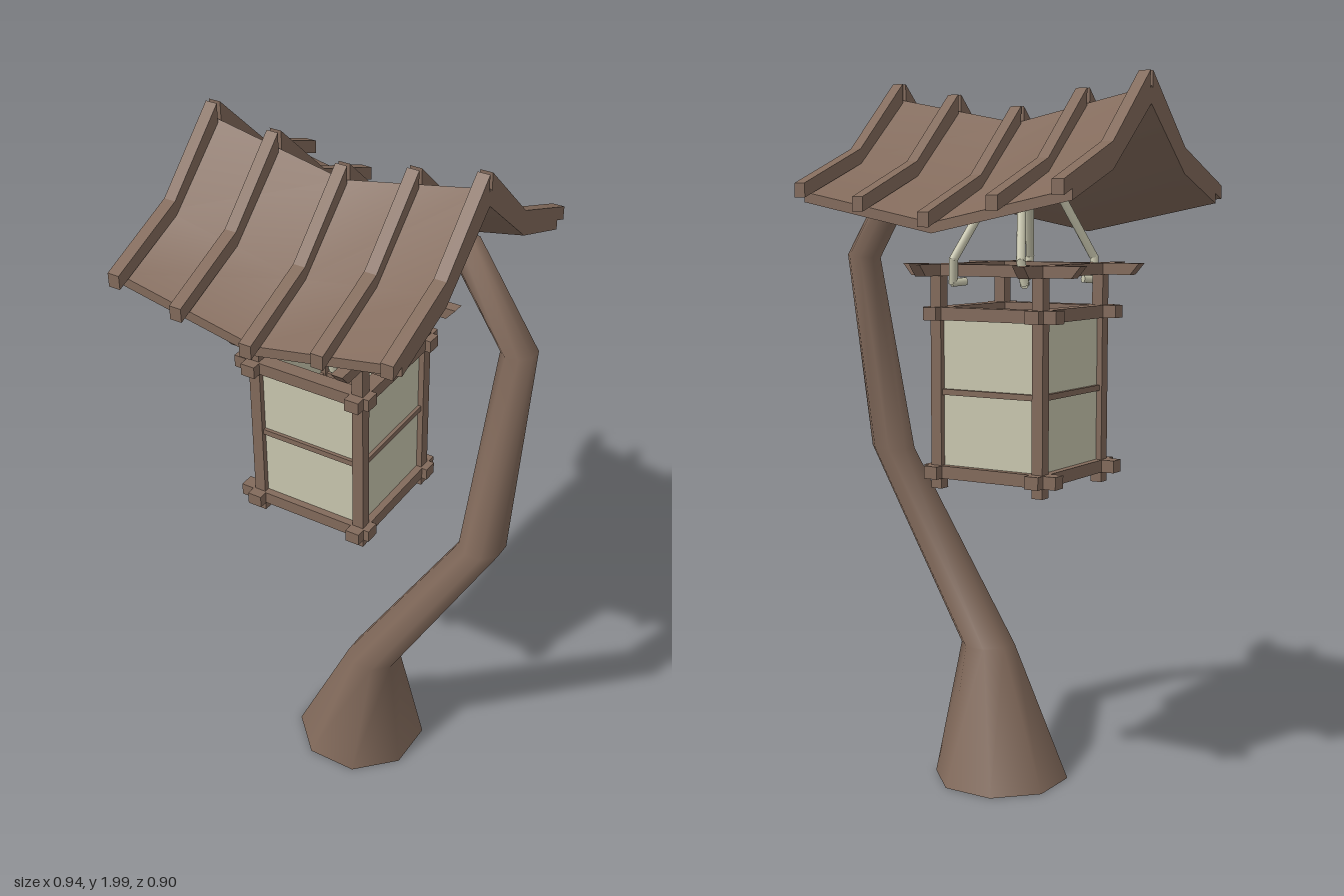
import * as THREE from 'three';
import { toCreasedNormals } from 'three/addons/utils/BufferGeometryUtils.js';

const wood = new THREE.MeshStandardMaterial({ color: 0x826a5b });
wood.name = 'brown wood';
const trunkWood = wood.clone();
trunkWood.side = THREE.DoubleSide;
const paper = new THREE.MeshStandardMaterial({ color: 0xc8c6ae, side: THREE.DoubleSide });
paper.name = 'pale paper';

export function createModel() {
  const model = new THREE.Group();
  model.name = 'hangingLantern';

  const add = (parent, name, geometry, material = wood) => {
    const mesh = new THREE.Mesh(geometry, material);
    mesh.name = name;
    parent.add(mesh);
    return mesh;
  };
  const box = (parent, name, size, pos, material) => {
    const mesh = add(parent, name, new THREE.BoxGeometry(...size), material);
    mesh.position.set(...pos);
    return mesh;
  };
  const group = (name) => {
    const g = new THREE.Group();
    g.name = name;
    model.add(g);
    return g;
  };

  // Crooked trunk: tapered rings [x, y, z, radius, tilt], open at the foot
  const rings = [
    [0.005, 0, 0.04, 0.188, 0],
    [0.073, 0.38, 0.075, 0.076, 0],
    [0.405, 0.94, 0.067, 0.062, 0.05],
    [0.425, 1.51, -0.04, 0.047, 0.1],
    [0.285, 1.78, 0, 0.044, 0.95],
    [-0.14, 1.775, 0, 0.034, Math.PI / 2],
  ];
  const sides = 8, pos = [], idx = [];
  rings.forEach(([x, y, z, r, t], i) => {
    for (let j = 0; j < sides; j++) {
      const a = ((j + 0.5) / sides) * Math.PI * 2;
      const rr = r * 1.04, u = Math.cos(a) * rr;
      pos.push(x + u * Math.cos(t), y + u * Math.sin(t), z + Math.sin(a) * rr);
      if (i < rings.length - 1) {
        const k = (j + 1) % sides;
        const p = i * sides + j, q = i * sides + k;
        idx.push(p, p + sides, q, q, p + sides, q + sides);
      }
    }
  });
  // Cap at the branch tip
  const last = (rings.length - 1) * sides;
  for (let j = 1; j < sides - 1; j++) idx.push(last, last + j + 1, last + j);
  const trunk = new THREE.BufferGeometry();
  trunk.setAttribute('position', new THREE.Float32BufferAttribute(pos, 3));
  trunk.setIndex(idx);
  trunk.computeVertexNormals();
  add(model, 'trunk', trunk, trunkWood);

  // Roof: profiles in (z, y) extruded along x, sagging toward the middle
  const roof = group('roof');
  const sag = (x) => 0.08 * (Math.abs(x + 0.0675) / 0.4075 - 1);
  const extrudeX = (points, x0, x1, steps) => {
    const shape = new THREE.Shape(points.map(([z, y]) => new THREE.Vector2(-z, y)));
    const g = new THREE.ExtrudeGeometry(shape, { depth: x1 - x0, steps, bevelEnabled: false });
    g.rotateY(Math.PI / 2);
    return g.translate(x0, 0, 0);
  };
  const top = [[0.41, 1.687], [0.205, 1.772], [0, 1.955]];
  const under = [[0.41, 1.66], [0.205, 1.737], [0, 1.91]];
  const bothSides = (p) => [...p, ...p.slice(0, 2).reverse().map(([z, y]) => [-z, y])];
  const sheet = extrudeX([...bothSides(top), ...bothSides(under).reverse()], -0.475, 0.34, 2);
  const sp = sheet.attributes.position;
  for (let i = 0; i < sp.count; i++) sp.setY(i, sp.getY(i) + sag(sp.getX(i)));
  add(roof, 'roofSheet', toCreasedNormals(sheet, 1.0));

  // Bent battens, one per slope
  const batten = [[0.007, 1.998], [0.207, 1.81], [0.45, 1.713], [0.45, 1.675], [0.205, 1.77], [0.007, 1.945]];
  for (const x of [-0.458, -0.273, -0.07, 0.134, 0.323]) {
    for (const s of [1, -1]) {
      const g = extrudeX(batten.map(([z, y]) => [z * s, y]), x - 0.017, x + 0.017, 1);
      add(roof, 'roofBatten', g.translate(0, sag(x), 0));
    }
  }

  // Lantern frame
  const lantern = group('lantern');
  const postX = [-0.243, 0.079], postZ = [-0.163, 0.163];
  const midX = -0.082, railX = -0.093;
  for (const x of postX) {
    for (const z of postZ) box(lantern, 'post', [0.033, 0.6, 0.033], [x, 1.18, z]);
  }
  for (const y of [0.927, 1.362]) {
    for (const z of postZ) box(lantern, 'rail', [0.418, 0.035, 0.042], [railX, y, z]);
    for (const x of postX) box(lantern, 'rail', [0.042, 0.035, 0.42], [x, y, 0]);
  }
  for (const z of postZ) box(lantern, 'middleBar', [0.3, 0.016, 0.02], [midX, 1.148, z]);
  for (const x of postX) box(lantern, 'middleBar', [0.02, 0.016, 0.3], [x, 1.148, 0]);

  // Crossed top beams with undercut ends
  const topBeam = () => {
    const g = new THREE.BoxGeometry(0.556, 0.032, 0.034);
    const p = g.attributes.position;
    for (let i = 0; i < p.count; i++) if (p.getY(i) < 0) p.setX(i, p.getX(i) * 0.9);
    g.computeVertexNormals();
    return g;
  };
  for (const z of postZ) add(lantern, 'topBeam', topBeam()).position.set(railX, 1.48, z);
  for (const x of postX) {
    const beam = add(lantern, 'topBeam', topBeam());
    beam.position.set(x, 1.48, 0);
    beam.rotation.y = Math.PI / 2;
  }

  // Paper walls, open above and below
  for (const z of postZ) {
    const wall = add(lantern, 'paperWall', new THREE.PlaneGeometry(0.31, 0.41), paper);
    wall.position.set(midX, 1.145, z);
    if (z < 0) wall.rotation.y = Math.PI;
  }
  for (const x of postX) {
    const wall = add(lantern, 'paperWall', new THREE.PlaneGeometry(0.31, 0.41), paper);
    wall.position.set(x, 1.145, 0);
    wall.rotation.y = (x > 0 ? 1 : -1) * Math.PI / 2;
  }

  // Ropes looped over the branch and hooked under the top beams
  const ropes = group('ropes');
  const rod = (a, b) => {
    const d = b.clone().sub(a);
    const mesh = add(ropes, 'rope', new THREE.CylinderGeometry(0.012, 0.012, d.length() + 0.008, 6), paper);
    mesh.position.copy(a).add(b).multiplyScalar(0.5);
    mesh.quaternion.setFromUnitVectors(new THREE.Vector3(0, 1, 0), d.normalize());
  };
  for (const sx of [1, -1]) {
    for (const sz of [1, -1]) {
      const path = [[0.095, 1.45, 0.16], [0.112, 1.447, 0.19], [0.105, 1.51, 0.198], [0.02, 1.775, 0.05], [0.015, 1.817, 0]]
        .map(([x, y, z]) => new THREE.Vector3(-0.098 + x * sx, y, z * sz));
      for (let i = 0; i < path.length - 1; i++) rod(path[i], path[i + 1]);
    }
  }
  return model;
}
